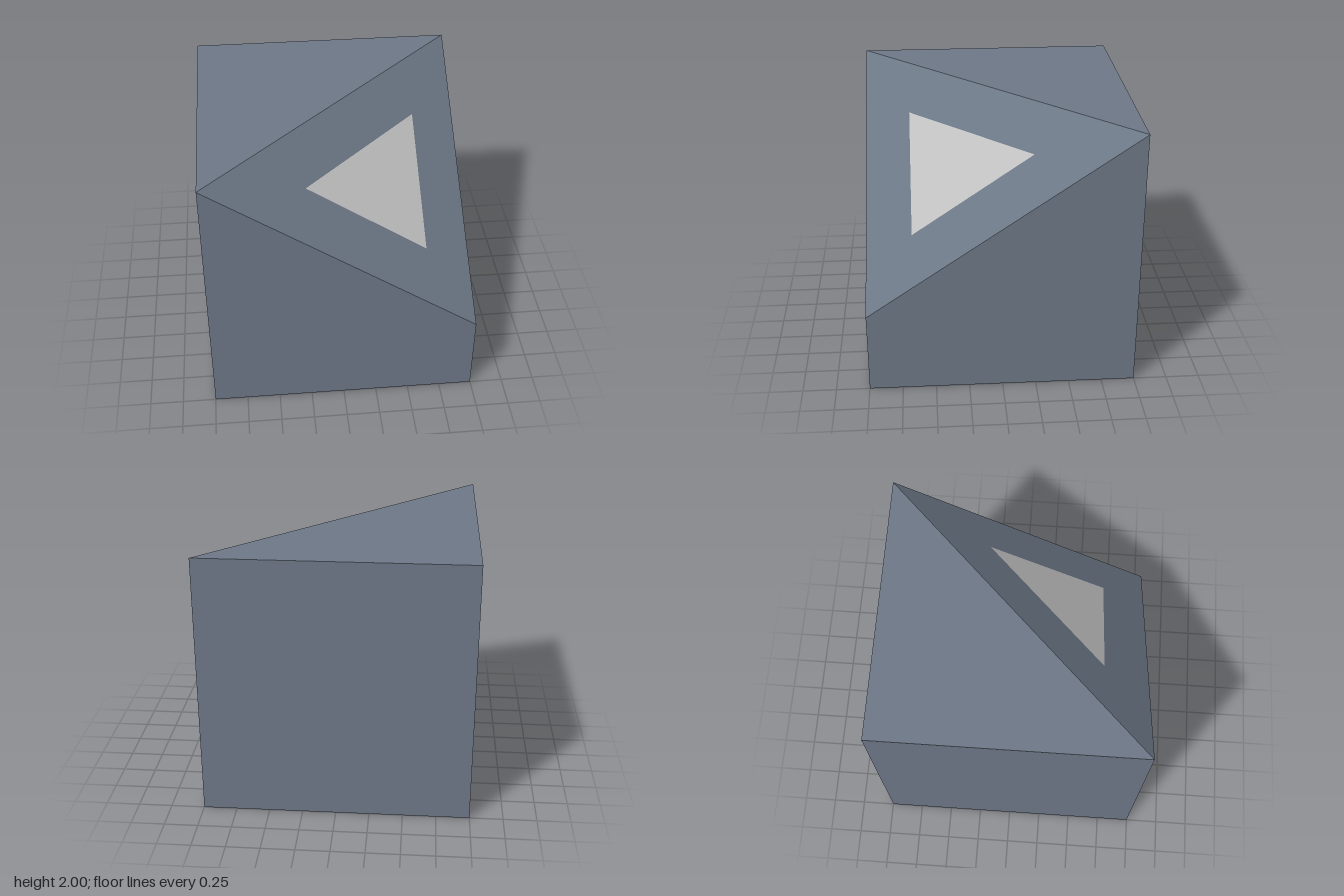
import * as THREE from 'three';

const slate = new THREE.MeshStandardMaterial({ name: 'slate blue', color: 0x6c7786 });
const silver = new THREE.MeshStandardMaterial({ name: 'silver grey', color: 0xc0c0c0 });

// Height of the sloping corner cut above a point of the plan
const SLOPE = 0.69;
const cutHeight = (x, z) => 2 - SLOPE * (x + z);

// Cube whose front left top corner is pulled down to form the cut
function makeBlock() {
  const box = new THREE.BoxGeometry(2, 2, 2).translate(0, 1, 0);
  const pos = box.attributes.position;
  for (let i = 0; i < pos.count; i++) {
    if (pos.getX(i) > 0 && pos.getZ(i) > 0 && pos.getY(i) > 1) pos.setY(i, cutHeight(1, 1));
  }
  const flat = box.toNonIndexed();
  flat.computeVertexNormals();
  return flat;
}

// Triangular panel lying just on top of the cut
function makePanel() {
  const lift = new THREE.Vector3(SLOPE, 1, SLOPE).setLength(0.002);
  const corners = [[-0.25, 0.65], [0.65, 0.65], [0.65, -0.25]].map(
    ([x, z]) => new THREE.Vector3(x, cutHeight(x, z), z).add(lift)
  );
  const panel = new THREE.BufferGeometry().setFromPoints(corners);
  panel.computeVertexNormals();
  return panel;
}

export function createModel() {
  const model = new THREE.Group();
  model.name = 'cutCornerCube';
  const block = new THREE.Mesh(makeBlock(), slate);
  block.name = 'block';
  const panel = new THREE.Mesh(makePanel(), silver);
  panel.name = 'trianglePanel';
  model.add(block, panel);
  return model;
}
